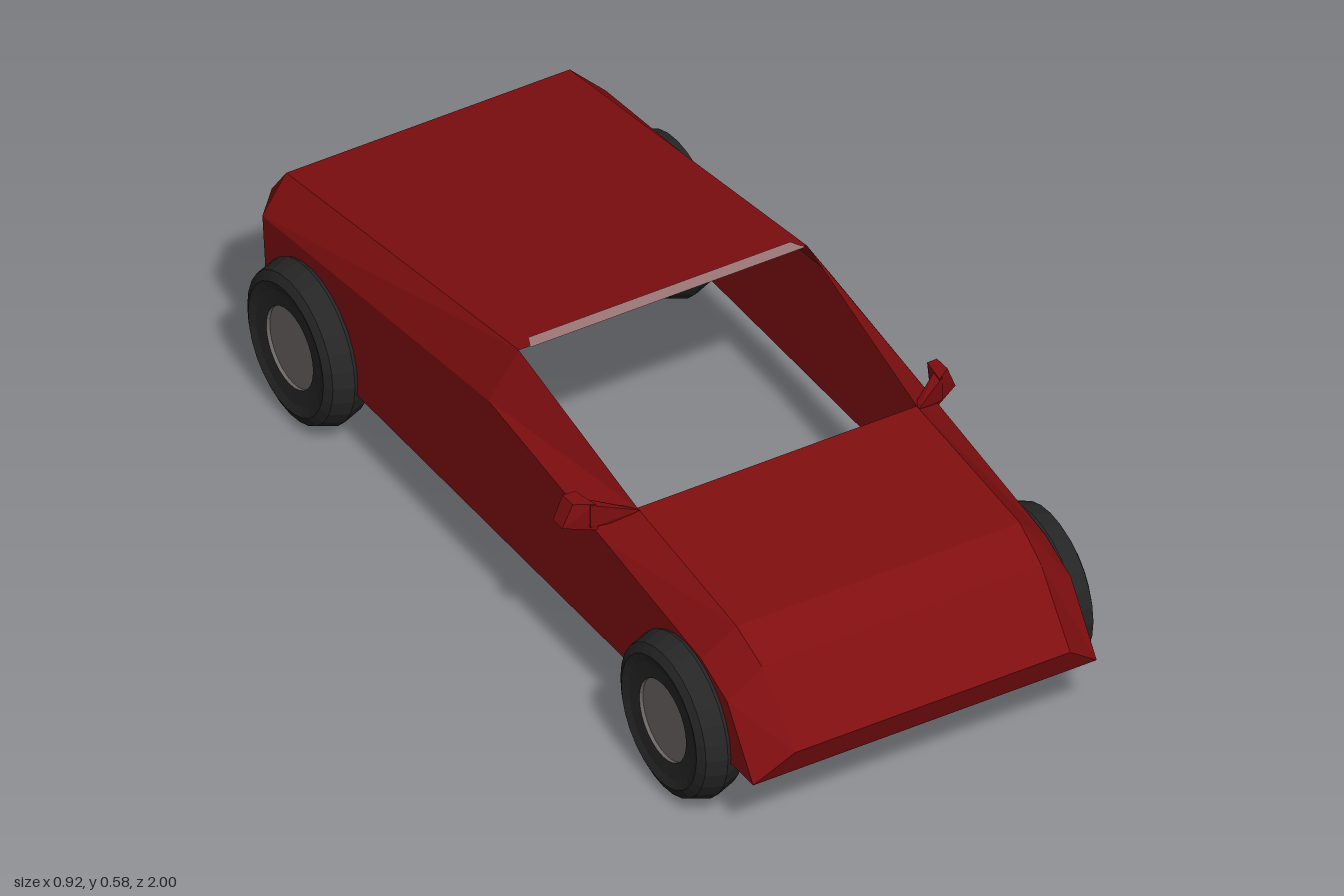
import * as THREE from 'three';
import { ConvexGeometry } from 'three/addons/geometries/ConvexGeometry.js';

const mat = (name, color, extra = {}) => {
  const m = new THREE.MeshStandardMaterial({ color, ...extra });
  m.name = name;
  return m;
};

// Flat-faced panel built from polygons (each a list of [x, y, z] corners)
function panel(name, polys, material) {
  const pos = [];
  for (const p of polys)
    for (let i = 1; i < p.length - 1; i++) pos.push(...p[0], ...p[i], ...p[i + 1]);
  const g = new THREE.BufferGeometry();
  g.setAttribute('position', new THREE.Float32BufferAttribute(pos, 3));
  g.computeVertexNormals();
  const mesh = new THREE.Mesh(g, material);
  mesh.name = name;
  return mesh;
}

function convex(name, points, material) {
  const mesh = new THREE.Mesh(new ConvexGeometry(points.map(p => new THREE.Vector3(...p))), material);
  mesh.name = name;
  return mesh;
}

export function createModel() {
  const red = mat('body red', 0x800e10, { side: THREE.DoubleSide });
  const rubber = mat('tyre black', 0x262626, { side: THREE.DoubleSide });
  const metal = mat('hub grey', 0x6a6563, { side: THREE.DoubleSide });
  const trim = mat('roof trim', 0x9a7474, { side: THREE.DoubleSide });

  const model = new THREE.Group();
  model.name = 'car';
  const body = new THREE.Group();
  body.name = 'body';
  model.add(body);

  // Body stations from nose to tail: upper edge, shoulder crease and sill
  const ridge = [[0.32, 0.236, 1], [0.325, 0.375, 0.88], [0.33, 0.42, 0.79],
    [0.325, 0.461, 0.4], [0.335, 0.574, -0.04], [0.33, 0.43, -0.944]];
  const belt = [[0.4, 0.166, 0.97], [0.4, 0.31, 0.87], [0.4, 0.352, 0.77],
    [0.4, 0.405, 0.4], [0.4, 0.467, -0.05], [0.4, 0.365, -0.92]];
  const sill = belt.map(([x, , z]) => [x, 0.15 + 0.016 * (z + 0.9) / 1.87, z]);
  sill[5] = [0.4, 0.15, -0.9];
  const lip = [0.33, 0.354, -1];
  const keel = [0, 0.15, -0.96];
  const flip = (p, s) => [p[0] * s, p[1], p[2]];

  // Top panels spanning both sides
  const across = (a, b) => [flip(a, -1), a, b, flip(b, -1)];
  body.add(
    panel('nose', [across(belt[0], ridge[0])], red),
    panel('hood', [0, 1, 2].map(i => across(ridge[i], ridge[i + 1])), red),
    panel('rearDeck', [across(ridge[4], ridge[5])], red),
    panel('tailPanel', [across(ridge[5], lip), [lip, flip(lip, -1), keel]], red),
    panel('roofTrim', [[[-0.31, 0.574, -0.036], [0.33, 0.574, -0.036],
      [0.31, 0.578, -0.062], [-0.3, 0.578, -0.062]]], trim),
  );

  // Shoulders, sides and tail corners
  for (const s of [1, -1]) {
    const side = s > 0 ? 'left' : 'right';
    const strip = (a, b) => a.slice(1).map((p, i) => {
      const quad = [a[i], b[i], b[i + 1], p].map(q => flip(q, s));
      return s > 0 ? quad.reverse() : quad;
    });
    body.add(
      panel(side + 'Shoulder', strip(ridge, belt), red),
      panel(side + 'Side', strip(belt, sill), red),
      panel(side + 'TailCorner', [[ridge[5], belt[5], lip], [lip, belt[5], sill[5]],
        [lip, sill[5], keel]].map(t => t.map(q => flip(q, s))), red),
    );

    // Door mirror: slim arm and angled head
    const mirror = new THREE.Group();
    mirror.name = side + 'Mirror';
    const arm = [[0.325, 0.462, 0.41], [0.33, 0.44, 0.4], [0.33, 0.455, 0.385],
      [0.41, 0.474, 0.36], [0.41, 0.418, 0.36], [0.41, 0.472, 0.33], [0.41, 0.42, 0.33]];
    const head = [[0.4, 0.476, 0.365], [0.395, 0.41, 0.365], [0.41, 0.472, 0.3], [0.415, 0.42, 0.3],
      [0.436, 0.47, 0.335], [0.458, 0.415, 0.33], [0.436, 0.468, 0.295], [0.458, 0.416, 0.295]];
    mirror.add(convex('mirrorArm', arm.map(p => flip(p, s)), red),
      convex('mirrorHead', head.map(p => flip(p, s)), red));
    body.add(mirror);
  }

  // Wheels: tyre ring, open rim barrel and hub disc near the outer face
  const v = (r, y) => new THREE.Vector2(r, y);
  const tyreGeo = new THREE.LatheGeometry([v(0.09, -0.044), v(0.125, -0.047), v(0.145, -0.053),
    v(0.165, -0.043), v(0.179, 0), v(0.165, 0.043), v(0.145, 0.053),
    v(0.125, 0.047), v(0.09, 0.044)], 28).toNonIndexed();
  tyreGeo.computeVertexNormals();
  const barrelGeo = new THREE.CylinderGeometry(0.09, 0.09, 0.088, 28, 1, true);
  const hubGeo = new THREE.CircleGeometry(0.09, 28).rotateX(-Math.PI / 2);
  for (const s of [1, -1]) for (const [name, z] of [['front', 0.708], ['rear', -0.729]]) {
    const wheel = new THREE.Group();
    wheel.name = name + (s > 0 ? 'Left' : 'Right') + 'Wheel';
    const tyre = new THREE.Mesh(tyreGeo, rubber);
    tyre.name = 'tyre';
    const barrel = new THREE.Mesh(barrelGeo, metal);
    barrel.name = 'rim';
    const hub = new THREE.Mesh(hubGeo, metal);
    hub.name = 'hub';
    hub.position.y = 0.036;
    wheel.add(tyre, barrel, hub);
    wheel.rotation.z = -s * Math.PI / 2;
    wheel.position.set(s * 0.408, 0.179, z);
    model.add(wheel);
  }
  return model;
}
